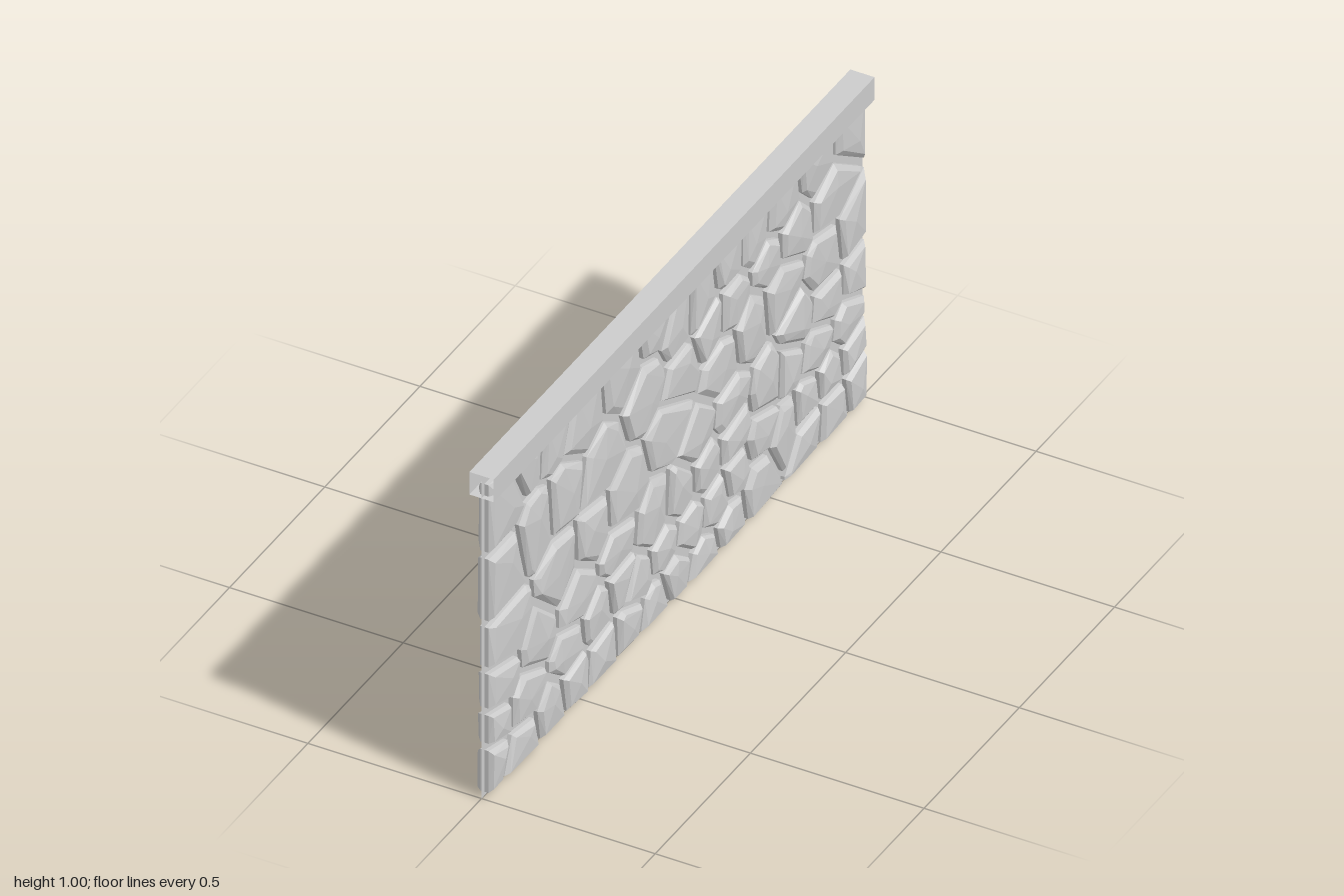
import * as THREE from 'three';
import { ConvexGeometry } from 'three/addons/geometries/ConvexGeometry.js';

const GAP = 0.011; // half a mortar joint
// Large stones: z, y and the clear radius kept around each.
const LARGE = [
  [.40, .66, .19], [.03, .56, .17], [.43, .47, .15], [-.82, .75, .16], [.16, .75, .13],
  [.90, .65, .14], [.74, .69, .13], [-.02, .67, .1], [-.93, .58, .13], [-.74, .89, .12],
  [.90, .84, .14], [.73, .33, .13], [.52, .33, .12], [-.78, .56, .13],
];
// Courses of small stones: height and number of stones.
const COURSES = [[.07, 15], [.2, 16], [.33, 13], [.45, 13], [.6, 12], [.74, 13], [.87, 15]];

let seed = 7;
const rnd = (a, b) => {
  seed = (seed * 16807) % 2147483647;
  return a + (b - a) * seed / 2147483647;
};

// Large stones first, then loose courses filling the space between them.
function stoneCentres() {
  const spots = LARGE.map(([z, y, r]) => ({ c: new THREE.Vector2(z, y), r }));
  for (const [y, count] of COURSES) {
    const step = 2 / count;
    for (let i = 0; i < count; i++) {
      const c = new THREE.Vector2(1 - step * (i + rnd(.25, .75)), y + rnd(-.04, .04));
      if (spots.every((s) => s.c.distanceTo(c) > s.r)) spots.push({ c, r: .085 });
    }
  }
  return spots.map((s) => s.c);
}

// Keep the part of a convex polygon where dot(p, n) <= d.
function clip(poly, n, d) {
  const out = [];
  poly.forEach((p, i) => {
    const q = poly[(i + 1) % poly.length];
    const a = p.dot(n) - d, b = q.dot(n) - d;
    if (a <= 0) out.push(p);
    if (a * b < 0) out.push(p.clone().lerp(q, a / (a - b)));
  });
  return out;
}

// Outline of one stone: the area nearest its centre, less the mortar joint.
function outline(c, centres) {
  let poly = [[-.985, .012], [.985, .012], [.985, .965], [-.985, .965]]
    .map(([z, y]) => new THREE.Vector2(z, y));
  for (const o of centres) {
    if (o === c) continue;
    const n = o.clone().sub(c).normalize();
    const mid = o.clone().add(c).multiplyScalar(.5);
    poly = clip(poly, n, mid.dot(n) - GAP);
  }
  return poly;
}

// Chipped stone standing out on both faces: steep rim, bevelled ring, off-centre peak.
function stoneGeometry(poly) {
  const mid = poly.reduce((s, p) => s.add(p), new THREE.Vector2()).divideScalar(poly.length);
  const points = [];
  for (const side of [-1, 1]) {
    for (const p of poly) {
      points.push(new THREE.Vector3(side * .012, p.y, p.x));
      const q = p.clone().lerp(mid, rnd(.1, .24));
      points.push(new THREE.Vector3(side * rnd(.021, .026), q.y, q.x));
    }
    const peak = mid.clone().lerp(poly[Math.floor(rnd(0, poly.length))], rnd(.1, .35));
    points.push(new THREE.Vector3(side * rnd(.027, .031), peak.y, peak.x));
  }
  return new ConvexGeometry(points);
}

export function createModel() {
  const group = new THREE.Group();
  const material = new THREE.MeshStandardMaterial({
    color: 0xcccccc, flatShading: true, side: THREE.DoubleSide,
  });
  const add = (parent, name, geometry) => {
    const mesh = new THREE.Mesh(geometry, material);
    mesh.name = name;
    parent.add(mesh);
  };

  // Thin mortar sheet
  add(group, 'mortarSheet', new THREE.PlaneGeometry(2, 1).rotateY(Math.PI / 2).translate(0, .5, 0));

  // Square coping rail, open at both ends
  const radius = .035 * Math.SQRT2;
  const rail = new THREE.CylinderGeometry(radius, radius, 2, 4, 1, true);
  add(group, 'copingRail', rail.rotateY(Math.PI / 4).rotateX(Math.PI / 2).translate(0, .965, 0));

  // Field of stones
  const stones = new THREE.Group();
  stones.name = 'stones';
  group.add(stones);
  const centres = stoneCentres();
  for (const c of centres) add(stones, 'stone', stoneGeometry(outline(c, centres)));
  return group;
}
